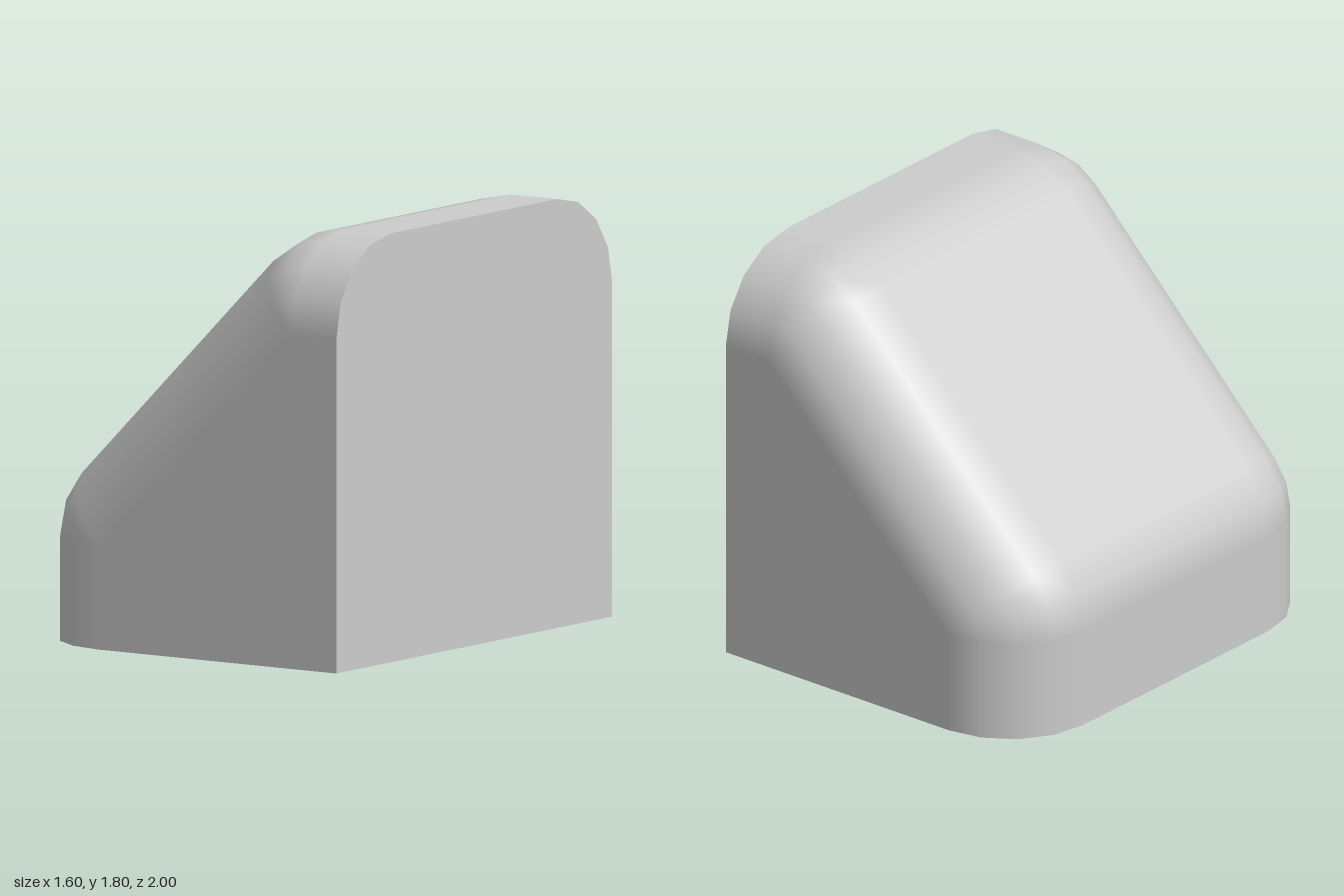
import * as THREE from 'three';

const R = 0.4;        // edge rounding radius
const HALF_Z = 1;     // half width along z
const RIGHT = 0.8;    // flat end plane
const STEPS = 4;      // segments in each rounded side edge

// Centre line of the rounding, with the outward angle (degrees) at each row
const ROWS = [
  [-0.4, 0, 180], [-0.4, 0.43, 180], [-0.4, 0.43, 157.5], [-0.4, 0.43, 135],
  [0.57, 1.4, 135], [0.57, 1.4, 112.5], [0.57, 1.4, 90], [RIGHT, 1.4, 90],
];

// One cross-section: rounded back edge, flat middle, rounded front edge
function section([cx, cy, deg]) {
  const a = THREE.MathUtils.degToRad(deg);
  const out = [];
  for (const side of [-1, 1]) {
    for (let k = 0; k <= STEPS; k++) {
      const t = (side < 0 ? k - STEPS : k) / STEPS * Math.PI / 2;
      const normal = new THREE.Vector3(Math.cos(a) * Math.cos(t), Math.sin(a) * Math.cos(t), Math.sin(t));
      const point = new THREE.Vector3(cx, cy, side * (HALF_Z - R)).addScaledVector(normal, R);
      out.push({ point, normal });
    }
  }
  return out;
}

// Smooth skin across all sections
function skinGeometry(sections) {
  const n = sections[0].length;
  const pos = [], nor = [], index = [];
  for (const s of sections) {
    for (const { point, normal } of s) {
      pos.push(...point.toArray());
      nor.push(...normal.toArray());
    }
  }
  for (let i = 0; i < sections.length - 1; i++) {
    for (let j = 0; j < n - 1; j++) {
      const a = i * n + j, b = a + 1, c = a + n, d = c + 1;
      index.push(a, b, c, b, d, c);
    }
  }
  const g = new THREE.BufferGeometry();
  g.setAttribute('position', new THREE.Float32BufferAttribute(pos, 3));
  g.setAttribute('normal', new THREE.Float32BufferAttribute(nor, 3));
  g.setIndex(index);
  return g;
}

// Flat convex face from its outline, counter-clockwise from outside
function faceGeometry(points) {
  const g = new THREE.BufferGeometry().setFromPoints(points);
  const index = [];
  for (let i = 1; i < points.length - 1; i++) index.push(0, i, i + 1);
  g.setIndex(index);
  g.computeVertexNormals();
  return g;
}

export function createModel() {
  const group = new THREE.Group();
  group.name = 'roundedSlopeBlock';
  const grey = new THREE.MeshStandardMaterial({ color: 0xcccccc });
  grey.name = 'lightGrey';
  const add = (name, geometry) => {
    const mesh = new THREE.Mesh(geometry, grey);
    mesh.name = name;
    group.add(mesh);
  };

  // Rounded slope, top and low wall
  const sections = ROWS.map(section);
  add('roundedSlope', skinGeometry(sections));

  // Flat front and back sides
  const outline = z => [[RIGHT, 0], [RIGHT, 1.4], [0.57, 1.4], [-0.4, 0.43], [-0.4, 0]]
    .map(([x, y]) => new THREE.Vector3(x, y, z));
  add('frontSide', faceGeometry(outline(HALF_Z)));
  add('backSide', faceGeometry(outline(-HALF_Z).reverse()));

  // Flat base and tall end
  const corners = [new THREE.Vector3(RIGHT, 0, HALF_Z), new THREE.Vector3(RIGHT, 0, -HALF_Z)];
  const rim = s => [...s.map(v => v.point), ...corners];
  add('base', faceGeometry(rim(sections[0]).reverse()));
  add('tallEnd', faceGeometry(rim(sections[sections.length - 1])));
  return group;
}
